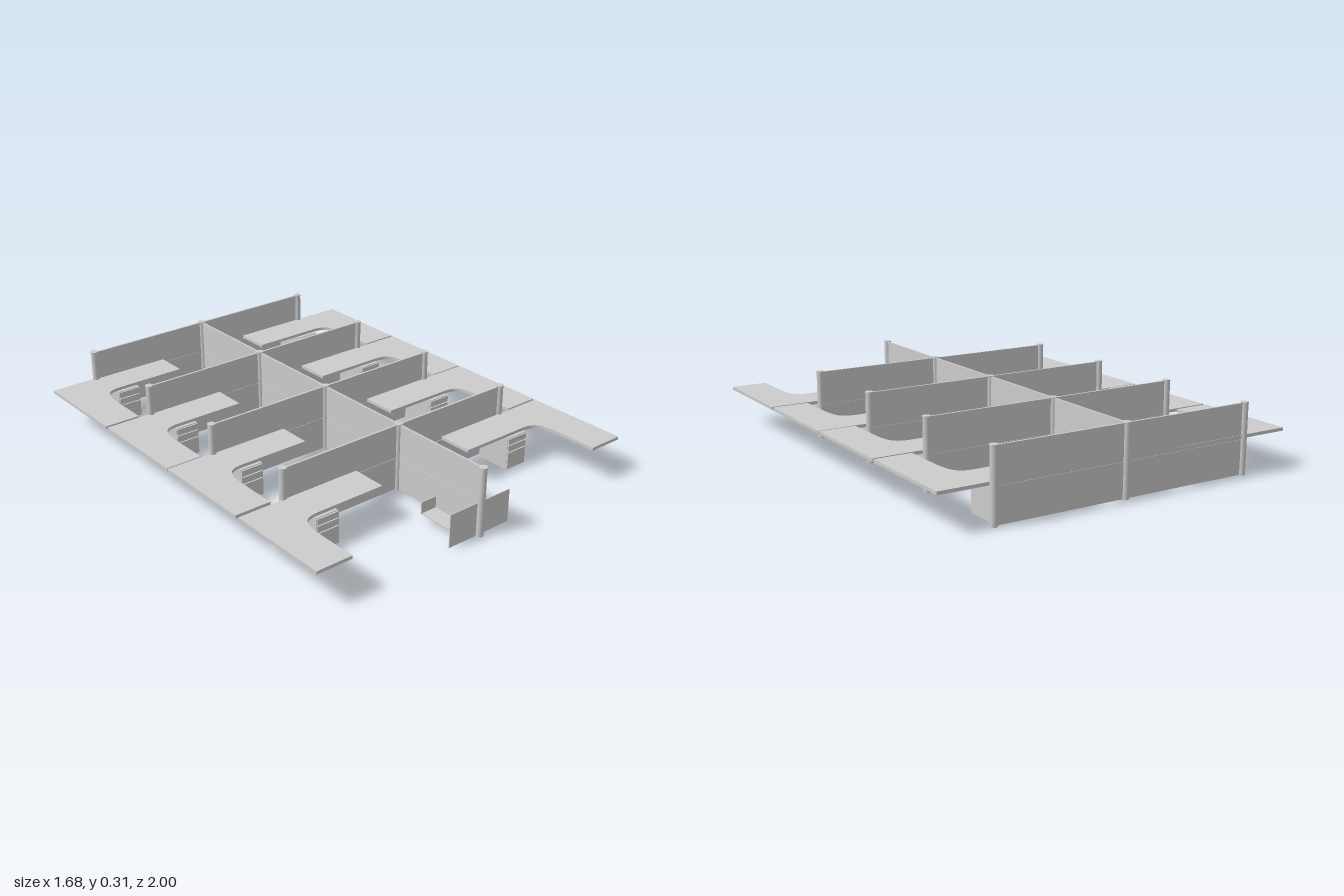
import * as THREE from 'three';

const mat = new THREE.MeshStandardMaterial({ color: 0xcccccc });

// Box given by its min/max extents on each axis
function box(parent, name, [x0, x1], [y0, y1], [z0, z1]) {
  const w = Math.abs(x1 - x0), h = y1 - y0, d = z1 - z0;
  const mesh = new THREE.Mesh(new THREE.BoxGeometry(w, h, d), mat);
  mesh.position.set((x0 + x1) / 2, (y0 + y1) / 2, (z0 + z1) / 2);
  mesh.name = name;
  parent.add(mesh);
  return mesh;
}

// Round post with a slim cap
function post(parent, x, z) {
  const g = new THREE.Group();
  g.name = 'post';
  const shaft = new THREE.Mesh(new THREE.CylinderGeometry(0.016, 0.016, 0.306, 20), mat);
  shaft.position.y = 0.153;
  shaft.name = 'postShaft';
  const cap = new THREE.Mesh(new THREE.CylinderGeometry(0.018, 0.018, 0.006, 20), mat);
  cap.position.y = 0.309;
  cap.name = 'postCap';
  g.add(shaft, cap);
  g.position.set(x, 0, z);
  parent.add(g);
}

// Divider running along local x: lower board, upper board, core in the seam, rails
function divider(length) {
  const g = new THREE.Group();
  const h = length / 2;
  box(g, 'lowerBoard', [-h, h], [0.008, 0.153], [-0.004, 0.004]);
  box(g, 'upperBoard', [-h, h], [0.157, 0.302], [-0.004, 0.004]);
  box(g, 'seamCore', [-h, h], [0.153, 0.157], [-0.002, 0.002]);
  box(g, 'baseRail', [-h, h], [0.002, 0.008], [-0.003, 0.003]);
  box(g, 'topRail', [-h, h], [0.302, 0.308], [-0.005, 0.005]);
  return g;
}

// L-shaped worktop with a swept inner corner; s is the side (+1 left, -1 right)
function worktop(s, inner) {
  const shape = new THREE.Shape();
  shape.moveTo(s * inner, 0);
  shape.lineTo(s * 0.838, 0);
  shape.lineTo(s * 0.838, 0.483);
  shape.lineTo(s * 0.67, 0.483);
  shape.lineTo(s * 0.67, 0.32);
  shape.bezierCurveTo(s * 0.67, 0.18, s * 0.645, 0.163, s * 0.565, 0.163);
  shape.lineTo(s * inner, 0.163);
  shape.closePath();
  const geo = new THREE.ExtrudeGeometry(shape, { depth: 0.014, bevelEnabled: false, curveSegments: 16 });
  geo.rotateX(Math.PI / 2);
  const mesh = new THREE.Mesh(geo, mat);
  mesh.position.y = 0.172;
  mesh.name = 'worktop';
  return mesh;
}

// Drawer pedestal: carcass with three drawer fronts
function pedestal(s) {
  const g = new THREE.Group();
  g.name = 'drawerPedestal';
  box(g, 'carcass', [s * 0.48, s * 0.59], [0, 0.152], [0.006, 0.17]);
  for (const [y0, y1] of [[0.004, 0.083], [0.088, 0.117], [0.122, 0.149]])
    box(g, 'drawerFront', [s * 0.481, s * 0.589], [y0, y1], [0.17, 0.177]);
  return g;
}

// Low shelf by the spine: back plate, tray and upright end flap
function shelf(s) {
  const g = new THREE.Group();
  g.name = 'lowShelf';
  box(g, 'backPlate', [s * 0.004, s * 0.165], [0, 0.15], [0.474, 0.478]);
  box(g, 'tray', [s * 0.028, s * 0.108], [0.03, 0.034], [0.252, 0.474]);
  box(g, 'endFlap', [s * 0.028, s * 0.108], [0.03, 0.086], [0.251, 0.255]);
  return g;
}

export function createModel() {
  const root = new THREE.Group();
  root.name = 'workstationCluster';

  const spineX = -0.004;
  const rows = [-0.982, -0.492, -0.001, 0.489];
  const spineEnd = 0.982;

  // Cross dividers with their posts
  for (const z of rows) {
    for (const x of [-0.615, spineX, 0.602]) post(root, x, z);
    const d = divider(1.217);
    d.name = 'crossDivider';
    d.position.set(-0.0065, 0, z);
    root.add(d);
  }

  // Central spine
  post(root, spineX, spineEnd);
  const spine = divider(spineEnd - rows[0]);
  spine.name = 'spineDivider';
  spine.rotation.y = Math.PI / 2;
  spine.position.set(spineX, 0, (spineEnd + rows[0]) / 2);
  root.add(spine);

  // Eight workstations, four on each side of the spine
  const starts = { '-1': [-0.988, -0.492, -0.004, 0.497], '1': [-0.978, -0.485, 0.004, 0.497] };
  for (const s of [-1, 1]) {
    for (const z of starts[s]) {
      const station = new THREE.Group();
      station.name = s > 0 ? 'leftWorkstation' : 'rightWorkstation';
      station.add(worktop(s, 0.243), pedestal(s), shelf(s));
      station.position.z = z;
      root.add(station);
    }
  }
  return root;
}
